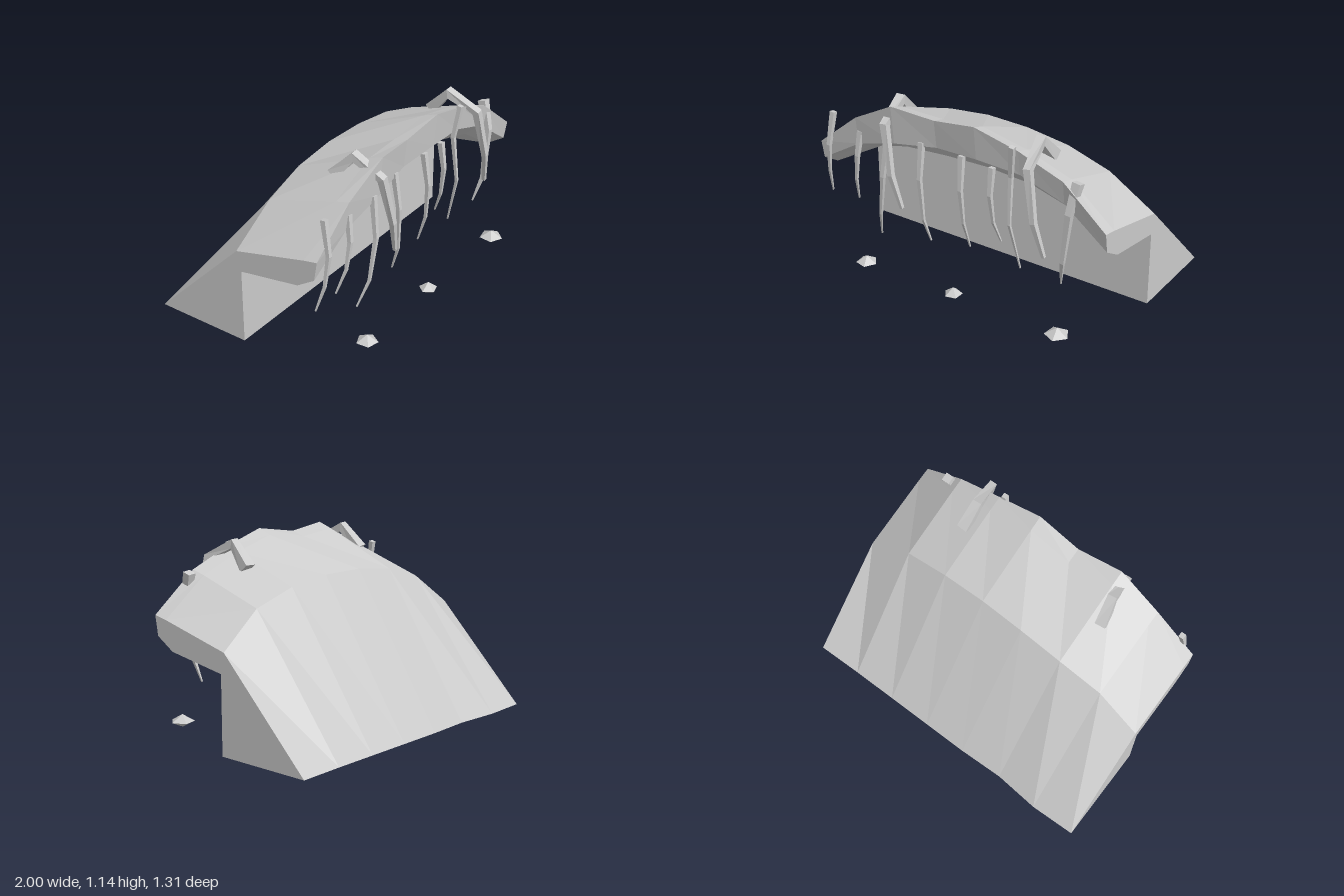
import * as THREE from 'three';

const earth = new THREE.MeshStandardMaterial({ color: 0xcccccc, flatShading: true });
earth.name = 'grey earth';

// Joins cross-section loops (counterclockwise about the travel direction) and caps both ends
function loft(rings, pivot = 0) {
  const out = [], n = rings[0].length, last = rings.length - 1;
  const tri = (...pts) => pts.forEach(p => out.push(p.x, p.y, p.z));
  for (let i = 0; i < last; i++) {
    for (let j = 0; j < n; j++) {
      const k = (j + 1) % n;
      tri(rings[i][j], rings[i][k], rings[i + 1][k]);
      tri(rings[i][j], rings[i + 1][k], rings[i + 1][j]);
    }
  }
  for (let j = 1; j < n - 1; j++) {
    const a = (pivot + j) % n, b = (pivot + j + 1) % n;
    tri(rings[last][pivot], rings[last][a], rings[last][b]);
    tri(rings[0][pivot], rings[0][b], rings[0][a]);
  }
  const g = new THREE.BufferGeometry();
  g.setAttribute('position', new THREE.Float32BufferAttribute(out, 3));
  g.computeVertexNormals();
  return g;
}

// Four-sided tapering root along a bent path
function rootGeometry(points, startHalf, endHalf) {
  const path = points.map(p => new THREE.Vector3(...p));
  const last = path.length - 1;
  return loft(path.map((p, i) => {
    const t = path[Math.min(i + 1, last)].clone().sub(path[Math.max(i - 1, 0)]).normalize();
    const side = new THREE.Vector3(1, 0, 0).addScaledVector(t, -t.x).normalize();
    const up = t.clone().cross(side);
    const h = THREE.MathUtils.lerp(startHalf, endHalf, i / last);
    return [[1, 1], [-1, 1], [-1, -1], [1, -1]].map(([a, b]) =>
      p.clone().addScaledVector(side, a * h).addScaledVector(up, b * h));
  }));
}

export function createModel() {
  const model = new THREE.Group();
  const add = (name, geometry, x = 0, y = 0, z = 0) => {
    const m = new THREE.Mesh(geometry, earth);
    m.name = name;
    m.position.set(x, y, z);
    model.add(m);
    return m;
  };

  // Overhanging bank: footZ, crestZ, crestY, lipZ, lipY, lipLowY, underY, innerY
  const stations = [
    [-0.65, -0.06, 0.60, 0.50, 0.735, 0.615, 0.54, 0.475],
    [-0.66, -0.045, 0.80, 0.505, 0.97, 0.79, 0.73, 0.63],
    [-0.635, -0.055, 0.885, 0.525, 1.125, 0.88, 0.80, 0.69],
    [-0.645, -0.05, 0.92, 0.495, 1.10, 0.92, 0.82, 0.73],
    [-0.645, -0.04, 0.92, 0.51, 1.145, 0.935, 0.83, 0.735],
    [-0.645, -0.035, 0.885, 0.495, 1.07, 0.915, 0.81, 0.70],
    [-0.645, -0.03, 0.80, 0.49, 0.965, 0.82, 0.73, 0.63],
    [-0.65, -0.055, 0.60, 0.505, 0.735, 0.615, 0.54, 0.475],
  ];
  add('overhangingBank', loft(stations.map(([footZ, crestZ, crestY, lipZ, lipY, lowY, underY, innerY], i) => {
    const x = -1 + 2 * i / 7;
    const shoulderZ = lipZ - 0.09;
    const shoulderY = THREE.MathUtils.lerp(crestY, lipY, (shoulderZ - crestZ) / (lipZ - crestZ)) + 0.004;
    return [[footZ, 0], [crestZ, crestY], [shoulderZ, shoulderY], [lipZ, lipY],
      [lipZ - 0.02, lowY], [0.365, underY], [-0.03, innerY], [-0.03, 0]]
      .map(([z, y]) => new THREE.Vector3(x, y, z));
  }), 6));

  // Thick roots arching over the lip
  const thick = [
    [[-0.50, 0.97, 0.25], [-0.475, 1.105, 0.37], [-0.46, 1.01, 0.545], [-0.40, 0.71, 0.58], [-0.345, 0.50, 0.56]],
    [[0.505, 0.97, 0.25], [0.495, 1.105, 0.37], [0.53, 1.01, 0.55], [0.59, 0.71, 0.585], [0.643, 0.50, 0.56]],
  ];
  thick.forEach(p => add('archingRoot', rootGeometry(p, 0.034, 0.01)));

  // Thin roots dangling from the lip
  const thin = [
    [[-0.905, 0.95, 0.48], [-0.92, 0.74, 0.52], [-0.94, 0.55, 0.505], [-0.965, 0.39, 0.46]],
    [[-0.695, 0.88, 0.485], [-0.71, 0.72, 0.51], [-0.735, 0.55, 0.50], [-0.765, 0.39, 0.45]],
    [[-0.48, 0.90, 0.50], [-0.50, 0.65, 0.535], [-0.54, 0.38, 0.52], [-0.585, 0.205, 0.465]],
    [[-0.245, 0.93, 0.48], [-0.242, 0.70, 0.515], [-0.23, 0.43, 0.505], [-0.215, 0.27, 0.455]],
    [[0.045, 0.93, 0.49], [0.052, 0.72, 0.52], [0.06, 0.50, 0.505], [0.067, 0.32, 0.45]],
    [[0.245, 0.91, 0.48], [0.247, 0.74, 0.505], [0.255, 0.56, 0.485], [0.275, 0.42, 0.435]],
    [[0.40, 1.095, 0.51], [0.375, 0.89, 0.485], [0.385, 0.60, 0.515], [0.415, 0.29, 0.445]],
    [[0.785, 0.96, 0.445], [0.765, 0.78, 0.50], [0.73, 0.46, 0.50], [0.695, 0.29, 0.455]],
  ];
  thin.forEach((p, i) => add('hangingRoot', rootGeometry(p, i === 7 ? 0.026 : 0.016, 0.004)));

  // Stones set in the underside
  [[-0.52, 0.72], [0.45, 0.72]].forEach(([x, y]) =>
    add('embeddedStone', new THREE.IcosahedronGeometry(0.05, 0), x, y, 0.1));

  // Five-sided pebbles on the ground in front
  [[-0.63, 0.57, 0.067, 0.4], [0.02, 0.565, 0.057, 0.9], [0.75, 0.575, 0.075, 0.2]].forEach(([x, z, r, turn]) => {
    const profile = [[0, -0.035], [r, 0], [0, 0.043]].map(p => new THREE.Vector2(...p));
    add('pebble', new THREE.LatheGeometry(profile, 5), x, 0.036, z).rotation.y = turn;
  });
  return model;
}
